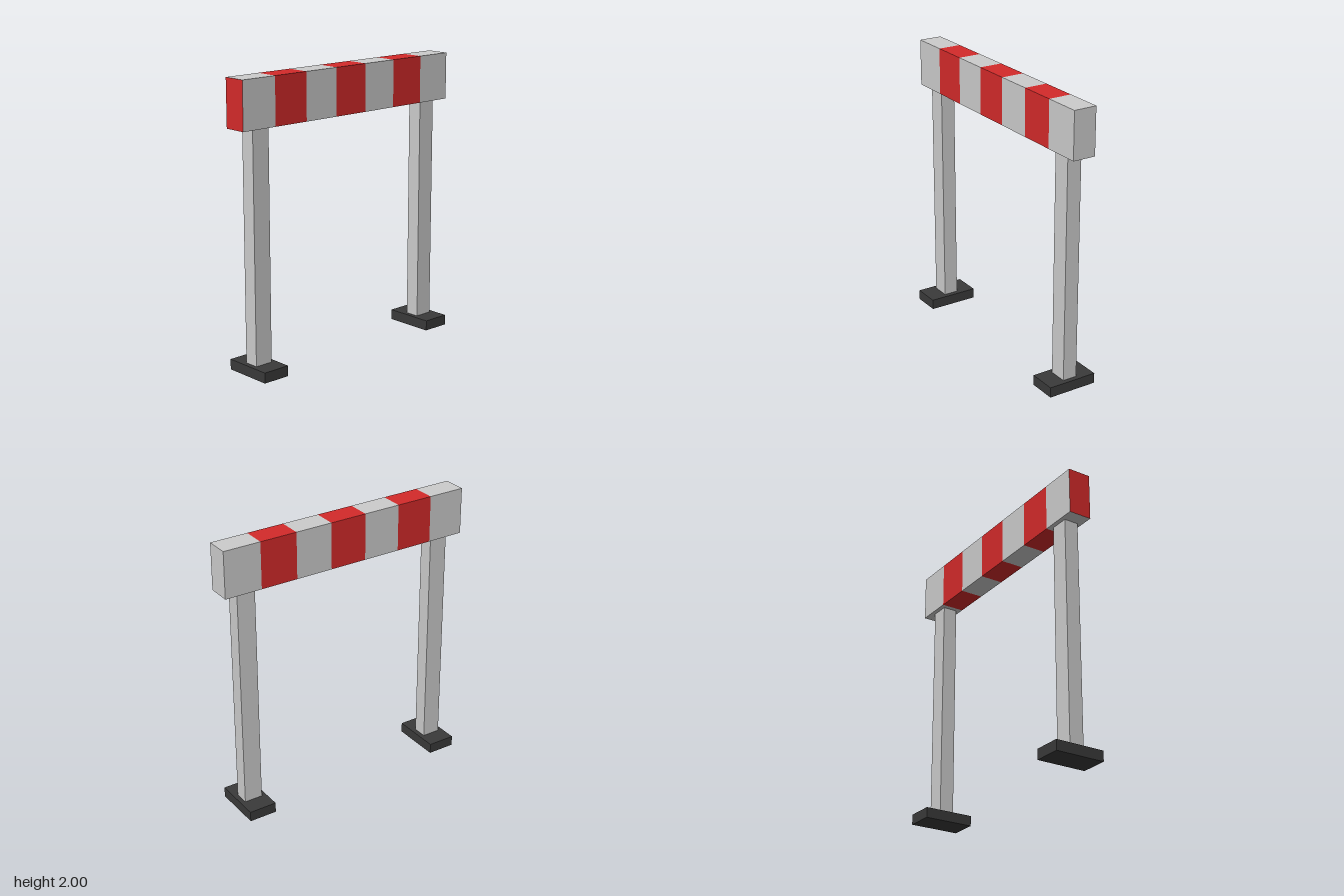
import * as THREE from 'three';

const grey = new THREE.MeshStandardMaterial({ color: 0xcccccc });
const red = new THREE.MeshStandardMaterial({ color: 0xd32a2a });
const dark = new THREE.MeshStandardMaterial({ color: 0x3a3a3a });

const STRIPES = 7, LENGTH = 1.867, BEAM_BOTTOM = 1.67, BEAM_DEPTH = 0.165;
const FOOT_HEIGHT = 0.073, LEG_X = 0.767;

function add(parent, name, geometry, material, x, y, z = 0) {
  const mesh = new THREE.Mesh(geometry, material);
  mesh.name = name;
  mesh.position.set(x, y, z);
  parent.add(mesh);
  return mesh;
}

export function createModel() {
  const model = new THREE.Group();
  model.name = 'barrier';

  // Striped crossbeam: four-sided sleeves in alternating colours
  const beam = new THREE.Group();
  beam.name = 'crossbeam';
  model.add(beam);
  const height = 2 - BEAM_BOTTOM, midY = BEAM_BOTTOM + height / 2;
  const width = LENGTH / STRIPES;
  const sleeve = new THREE.BoxGeometry(width, height, BEAM_DEPTH);
  sleeve.setIndex(Array.from(sleeve.index.array).slice(12)); // drop the two x faces
  sleeve.clearGroups();
  for (let i = 0; i < STRIPES; i++) {
    const x = (i - (STRIPES - 1) / 2) * width;
    add(beam, i % 2 ? 'redStripe' : 'greyStripe', sleeve, i % 2 ? red : grey, x, midY);
  }

  // Beam ends: grey on the left, red on the right
  const end = new THREE.PlaneGeometry(BEAM_DEPTH, height);
  for (const side of [1, -1]) {
    const cap = add(beam, side > 0 ? 'leftEnd' : 'rightEnd', end, side > 0 ? grey : red, side * LENGTH / 2, midY);
    cap.rotation.y = side * Math.PI / 2;
  }

  // Legs standing on wide feet
  const legHeight = BEAM_BOTTOM - FOOT_HEIGHT;
  const leg = new THREE.BoxGeometry(0.132, legHeight, 0.104);
  const foot = new THREE.BoxGeometry(0.2, FOOT_HEIGHT, 0.358);
  for (const side of [1, -1]) {
    const prefix = side > 0 ? 'left' : 'right';
    add(model, prefix + 'Leg', leg, grey, side * LEG_X, FOOT_HEIGHT + legHeight / 2);
    add(model, prefix + 'Foot', foot, dark, side * LEG_X, FOOT_HEIGHT / 2);
  }
  return model;
}
